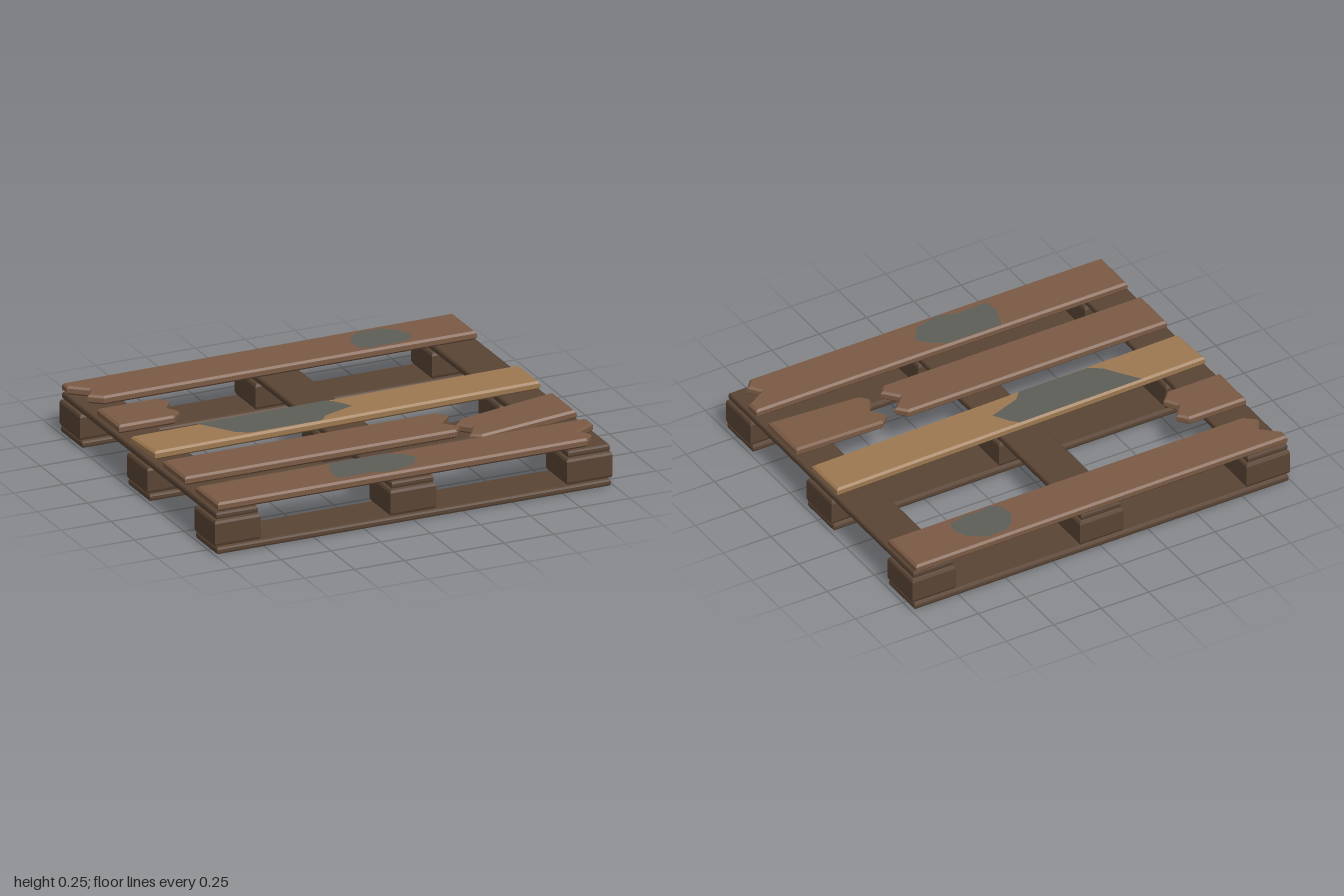
import * as THREE from 'three';

const material = (color) => new THREE.MeshStandardMaterial({ color, flatShading: true });

// Shape drawn in plan from [x, z] corners
const planShape = (pts) => new THREE.Shape(pts.map(([x, z]) => new THREE.Vector2(x, -z)));

const rect = (x0, x1, z0, z1) => [[x0, z0], [x1, z0], [x1, z1], [x0, z1]];

// Bevelled timber with the given plan outline, between heights y0 and y1
function timber(name, pts, y0, y1, mat, bevel = 0.01, bevelSegments = 1) {
  const geo = new THREE.ExtrudeGeometry(planShape(pts), {
    depth: y1 - y0 - 2 * bevel,
    bevelThickness: bevel, bevelSize: bevel, bevelOffset: -bevel, bevelSegments,
  });
  geo.translate(0, 0, y0 + bevel).rotateX(-Math.PI / 2);
  const mesh = new THREE.Mesh(geo, mat);
  mesh.name = name;
  return mesh;
}

// Thin flat stain lying on a plank
function stain(name, pts, y, mat) {
  const geo = new THREE.ShapeGeometry(planShape(pts)).rotateX(-Math.PI / 2).translate(0, y, 0);
  const mesh = new THREE.Mesh(geo, mat);
  mesh.name = name;
  return mesh;
}

export function createModel() {
  const group = new THREE.Group();
  group.name = 'pallet';
  const dark = material(0x594434);
  const brown = material(0x7a5a44);
  const tan = material(0x9c7850);
  const grey = material(0x5e5e58);
  grey.side = THREE.DoubleSide;

  const columns = [['Right', -0.885], ['Middle', -0.005], ['Left', 0.88]];
  const rows = [['Back', -0.717], ['Centre', 0], ['Front', 0.717]];

  // Skids along x and the blocks standing on them
  for (const [row, z] of rows) {
    group.add(timber('skid' + row, rect(-0.99, 0.985, z - 0.113, z + 0.113), 0, 0.037, dark, 0.012, 2));
    for (const [col, x] of columns) {
      group.add(timber('block' + row + col, rect(x - 0.115, x + 0.115, z - 0.11, z + 0.11), 0.036, 0.168, dark, 0.017, 2));
    }
  }

  // Stringers along z
  for (const [col, x] of columns) {
    group.add(timber('stringer' + col, rect(x - 0.105, x + 0.105, -0.82, 0.82), 0.167, 0.204, dark, 0.012, 2));
  }

  // Deck planks, some with splintered ends
  const lo = 0.204, hi = 0.246;
  const planks = [
    ['plankBack', brown, [[-0.99, -0.82], [0.98, -0.835], [0.98, -0.585], [-0.89, -0.585],
      [-0.95, -0.635], [-0.91, -0.7], [-0.99, -0.77]]],
    ['plankStub', brown, [[-0.98, -0.47], [-0.68, -0.47], [-0.64, -0.42], [-0.69, -0.35],
      [-0.65, -0.29], [-0.7, -0.235], [-0.98, -0.235]]],
    ['plankMiddle', tan, [[-0.985, -0.1], [0.98, -0.135], [0.98, 0.09], [-0.97, 0.125]]],
    ['plankSnapped', brown, [[-0.98, 0.23], [0.385, 0.23], [0.43, 0.28], [0.36, 0.35],
      [0.42, 0.42], [0.385, 0.465], [-0.98, 0.465]]],
    ['plankFront', brown, [[-0.98, 0.58], [0.98, 0.58], [0.98, 0.65], [0.88, 0.71],
      [0.92, 0.765], [0.875, 0.815], [-0.98, 0.815]]],
  ];
  for (const [name, mat, pts] of planks) group.add(timber(name, pts, lo, hi, mat));

  // Loose end of the snapped plank, sagging towards the break
  const pivot = 0.98;
  const loosePts = [[0.5, 0.26], [0.98, 0.23], [0.98, 0.48], [0.5, 0.49], [0.455, 0.45], [0.505, 0.37], [0.455, 0.305]];
  const loose = timber('plankLooseEnd', loosePts.map(([x, z]) => [x - pivot, z]), 0, hi - lo, brown);
  loose.position.set(pivot, lo, 0);
  loose.rotation.z = 0.075;
  group.add(loose);

  // Worn grey stains
  const top = hi + 0.002;
  group.add(
    stain('stainBack', [[0.43, -0.76], [0.48, -0.8], [0.59, -0.8], [0.66, -0.75], [0.69, -0.69], [0.68, -0.63],
      [0.58, -0.605], [0.53, -0.615], [0.46, -0.6], [0.41, -0.63], [0.4, -0.69]], top, grey),
    stain('stainMiddle', [[-0.65, -0.1], [0.0, -0.11], [0.03, -0.08], [0.08, 0], [-0.08, 0.055],
      [-0.12, 0.1], [-0.48, 0.1], [-0.54, 0.06], [-0.58, 0]], top, grey),
    stain('stainFront', [[-0.32, 0.59], [-0.04, 0.59], [0.03, 0.63], [0.08, 0.69], [0.02, 0.77], [-0.1, 0.8],
      [-0.19, 0.77], [-0.35, 0.775], [-0.36, 0.7]], top, grey),
  );

  return group;
}
